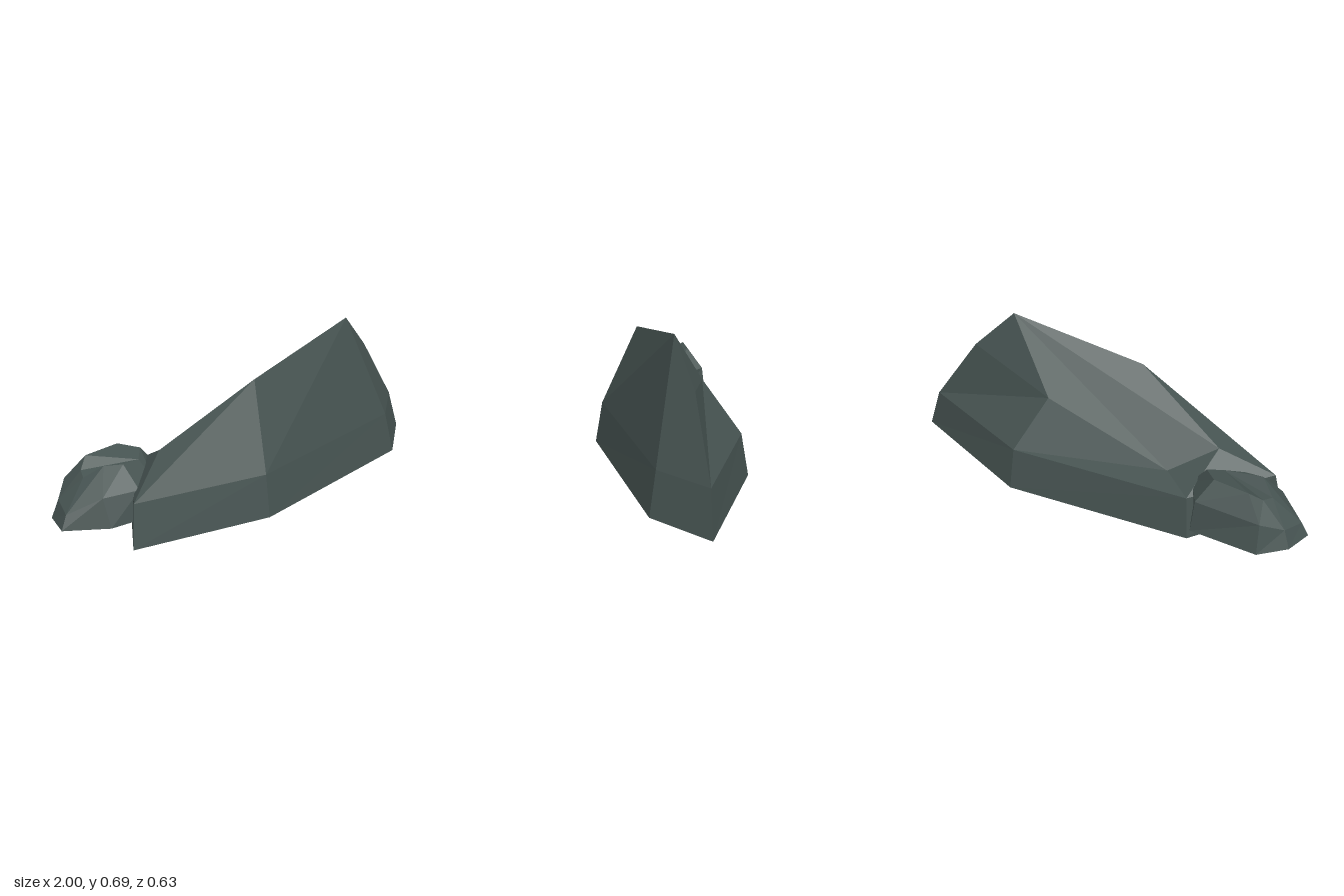
import * as THREE from 'three';

// Faceted rock lofted from rings of [x, y, z] corners, listed counterclockwise from above.
function makeRock(name, rings, anchor, material) {
  const n = rings[0].length;
  const pos = [];
  const tri = (a, b, c) => pos.push(...a, ...b, ...c);
  for (let r = 0; r < rings.length - 1; r++) {
    const lo = rings[r], hi = rings[r + 1];
    for (let i = 0; i < n; i++) {
      const j = (i + 1) % n;
      tri(lo[i], lo[j], hi[j]);
      tri(lo[i], hi[j], hi[i]);
    }
  }
  // Underside and top, each fanned from one corner
  const bottom = rings[0], top = rings[rings.length - 1];
  for (let k = 1; k < n - 1; k++) {
    const i = (anchor + k) % n, j = (anchor + k + 1) % n;
    tri(top[anchor], top[i], top[j]);
    tri(bottom[anchor], bottom[j], bottom[i]);
  }
  const geometry = new THREE.BufferGeometry();
  geometry.setAttribute('position', new THREE.Float32BufferAttribute(pos, 3));
  geometry.computeVertexNormals();
  const mesh = new THREE.Mesh(geometry, material);
  mesh.name = name;
  return mesh;
}

export function createModel() {
  const group = new THREE.Group();
  group.name = 'rocks';
  const stone = new THREE.MeshStandardMaterial({ color: 0x465351 });
  stone.name = 'dark slate stone';
  stone.flatShading = true;

  // Large slanted boulder: foot, shoulder, crest
  group.add(makeRock('largeRock', [
    [[-0.79, 0, 0.185], [-0.17, 0, 0.315], [0.745, 0, 0.155],
      [0.995, 0, -0.063], [0.335, 0, -0.315], [-0.53, 0, -0.223]],
    [[-0.76, 0.19, 0.155], [-0.165, 0.19, 0.283], [0.715, 0.19, 0.125],
      [0.93, 0.19, -0.063], [0.33, 0.19, -0.283], [-0.51, 0.19, -0.2]],
    [[-0.54, 0.325, 0.03], [-0.1, 0.565, 0.125], [0.525, 0.69, 0.03],
      [0.71, 0.505, -0.03], [0.24, 0.41, -0.125], [-0.36, 0.22, -0.1]],
  ], 2, stone));

  // Small boulder resting against the low end
  group.add(makeRock('smallRock', [
    [[-1, 0.075, -0.02], [-0.83, 0.075, 0.09], [-0.7, 0.075, 0.1], [-0.6, 0.075, 0.04],
      [-0.49, 0.075, -0.1], [-0.56, 0.075, -0.255], [-0.87, 0.075, -0.255], [-0.97, 0.075, -0.15]],
    [[-0.97, 0.135, -0.03], [-0.84, 0.2, 0.05], [-0.68, 0.2, 0.08], [-0.58, 0.21, 0.03],
      [-0.48, 0.21, -0.1], [-0.57, 0.22, -0.24], [-0.86, 0.2, -0.22], [-0.94, 0.155, -0.14]],
    [[-0.85, 0.25, -0.08], [-0.78, 0.3, -0.03], [-0.69, 0.285, -0.02], [-0.6, 0.275, -0.04],
      [-0.55, 0.295, -0.1], [-0.62, 0.31, -0.17], [-0.78, 0.3, -0.17], [-0.83, 0.26, -0.13]],
  ], 3, stone));

  return group;
}
